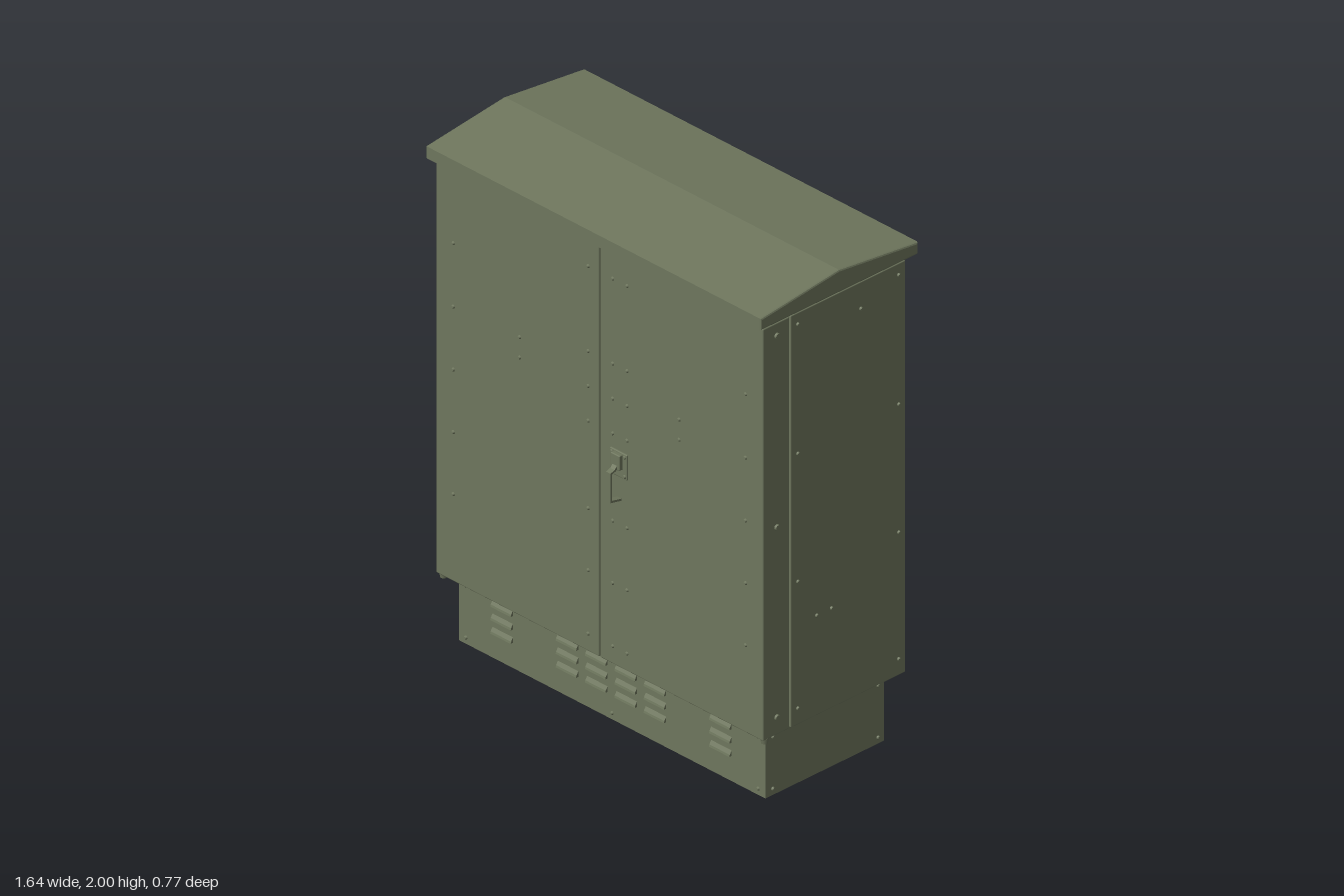
import * as THREE from 'three';
import { RoundedBoxGeometry } from 'three/addons/geometries/RoundedBoxGeometry.js';

export function createModel() {
  const model = new THREE.Group();
  model.name = 'streetCabinet';
  const olive = new THREE.MeshStandardMaterial({ color: 0x6e765d });
  olive.name = 'olive paint';

  const add = (name, geometry, parent = model) => {
    const mesh = new THREE.Mesh(geometry, olive);
    mesh.name = name;
    parent.add(mesh);
    return mesh;
  };
  const group = (name) => {
    const g = new THREE.Group();
    g.name = name;
    model.add(g);
    return g;
  };
  // Box given by its limits, with optionally rounded edges
  const box = (name, [x0, x1], [y0, y1], [z0, z1], radius = 0, parent = model) => {
    const size = [x1 - x0, y1 - y0, z1 - z0];
    const g = radius ? new RoundedBoxGeometry(...size, 2, radius) : new THREE.BoxGeometry(...size);
    const mesh = add(name, g, parent);
    mesh.position.set((x0 + x1) / 2, (y0 + y1) / 2, (z0 + z1) / 2);
    return mesh;
  };

  // Plinth, rear shell, recessed inner frame and the two doors
  const FRONT = 0.335, BACK = -0.343, SIDE = 0.8;
  const BASE_FRONT = 0.275, BASE_BACK = -0.29, BASE_SIDE = 0.75;
  box('plinth', [-BASE_SIDE, BASE_SIDE], [0, 0.275], [BASE_BACK, BASE_FRONT]);
  box('rearShell', [-SIDE, SIDE], [0.27, 1.895], [BACK, 0.203], 0.004);
  box('innerFrame', [-0.78, 0.78], [0.262, 1.915], [-0.31, 0.32]);
  box('rightDoor', [-SIDE, -0.003], [0.27, 1.895], [0.208, FRONT], 0.005);
  box('leftDoor', [0.003, SIDE], [0.27, 1.895], [0.208, FRONT], 0.005);

  // Shallow gabled roof with softened edges
  const gable = new THREE.Shape([
    [0.365, 1.91], [0.365, 1.957], [-0.008, 2.0], [-0.385, 1.957], [-0.385, 1.91],
  ].map(([z, y]) => new THREE.Vector2(z, y)));
  const b = 0.007;
  const roof = new THREE.ExtrudeGeometry(gable, {
    depth: 1.64 - 2 * b, bevelEnabled: true, bevelThickness: b,
    bevelSize: b, bevelOffset: -b, bevelSegments: 2,
  });
  roof.translate(0, 0, -(1.64 - 2 * b) / 2).rotateY(-Math.PI / 2);
  add('roof', roof);

  // Bolt heads, turned to face outward from each panel
  const bolts = group('bolts');
  const boltGeo = new THREE.CylinderGeometry(0.005, 0.008, 0.008, 10).rotateX(Math.PI / 2);
  const hingeGeo = new THREE.CylinderGeometry(0.01, 0.012, 0.01, 12).rotateX(Math.PI / 2);
  const bolt = (x, y, z, turn, geo = boltGeo) => {
    const m = add('bolt', geo, bolts);
    m.position.set(x, y, z);
    m.rotation.y = turn;
  };
  const onFront = (x, y, z = FRONT) => bolt(x, y, z + 0.003, 0);
  const onBack = (x, y, z = BACK) => bolt(x, y, z - 0.003, Math.PI);
  const onSides = (z, y, x = SIDE, geo = boltGeo) => {
    bolt(x + 0.003, y, z, Math.PI / 2, geo);
    bolt(-x - 0.003, y, z, -Math.PI / 2, geo);
  };

  const edgeRows = [0.335, 0.835, 1.34, 1.85];
  for (const s of [-1, 1]) {
    for (const y of [0.615, 0.86, 1.107, 1.355, 1.605]) onFront(s * 0.715, y);
    for (const y of [1.29, 1.37]) onFront(s * 0.39, y);
    for (const y of edgeRows) onBack(s * 0.77, y);
  }
  for (const x of [-0.055, 0.065, 0.135])
    for (const y of [0.34, 0.59, 0.835, 1.18, 1.317, 1.455, 1.79]) onFront(x, y);
  for (const x of [-0.6, -0.2, 0.2, 0.6]) onBack(x, 1.61);
  for (const x of [-0.6, 0.2, 0.54, 0.61]) onBack(x, 0.5);
  for (const y of edgeRows) {
    onSides(0.17, y);
    onSides(-0.31, y);
  }
  onSides(-0.13, 1.79);
  onSides(0.08, 0.665);
  onSides(0.01, 0.665);
  for (const y of [0.34, 1.09, 1.845]) onSides(0.27, y, SIDE, hingeGeo);
  for (const y of [0.025, 0.23]) {
    for (const x of [-0.715, 0, 0.715]) {
      onFront(x, y, BASE_FRONT);
      onBack(x, y, BASE_BACK);
    }
    onSides(0.24, y, BASE_SIDE);
    onSides(-0.26, y, BASE_SIDE);
  }

  // Louvre hoods that slope out toward their lower edge, front and back
  const louvres = group('louvres');
  const hood = new THREE.Shape([
    new THREE.Vector2(-0.002, -0.012), new THREE.Vector2(0.011, -0.012),
    new THREE.Vector2(0.009, -0.004), new THREE.Vector2(-0.002, 0.013),
  ]);
  const hoodGeo = new THREE.ExtrudeGeometry(hood, { depth: 0.1, bevelEnabled: false });
  hoodGeo.translate(0, 0, -0.05).rotateY(-Math.PI / 2);
  for (const x of [-0.535, -0.215, -0.072, 0.072, 0.215, 0.535])
    for (const y of [0.111, 0.164, 0.217]) {
      add('frontLouvre', hoodGeo, louvres).position.set(x, y, BASE_FRONT);
      const back = add('backLouvre', hoodGeo, louvres);
      back.position.set(x, y, BASE_BACK);
      back.rotation.y = Math.PI;
    }

  // Pivot knobs below the outer door corners
  for (const s of [-1, 1])
    add('hingePin', new THREE.CylinderGeometry(0.016, 0.012, 0.022, 12))
      .position.set(s * 0.785, 0.261, 0.313);

  // Lock plate and swing handle
  const handle = group('doorHandle');
  box('lockPlate', [0.055, 0.14], [1.025, 1.125], [0.33, 0.341], 0.004, handle);
  box('lockHousing', [0.075, 0.12], [1.06, 1.12], [0.335, 0.357], 0.004, handle);
  for (const x of [0.066, 0.129])
    for (const y of [1.037, 1.113]) onFront(x, y, 0.34);
  const lever = [[0.345, 1.085], [0.365, 1.062], [0.384, 1.056], [0.384, 0.946], [0.337, 0.936]];
  for (let i = 0; i + 1 < lever.length; i++) {
    const [z0, y0] = lever[i], [z1, y1] = lever[i + 1];
    const length = Math.hypot(z1 - z0, y1 - y0) + 0.006;
    const bar = add('lever', new THREE.BoxGeometry(0.022, 0.008, length), handle);
    bar.position.set(0.097, (y0 + y1) / 2, (z0 + z1) / 2);
    bar.rotation.x = -Math.atan2(y1 - y0, z1 - z0);
  }
  return model;
}
